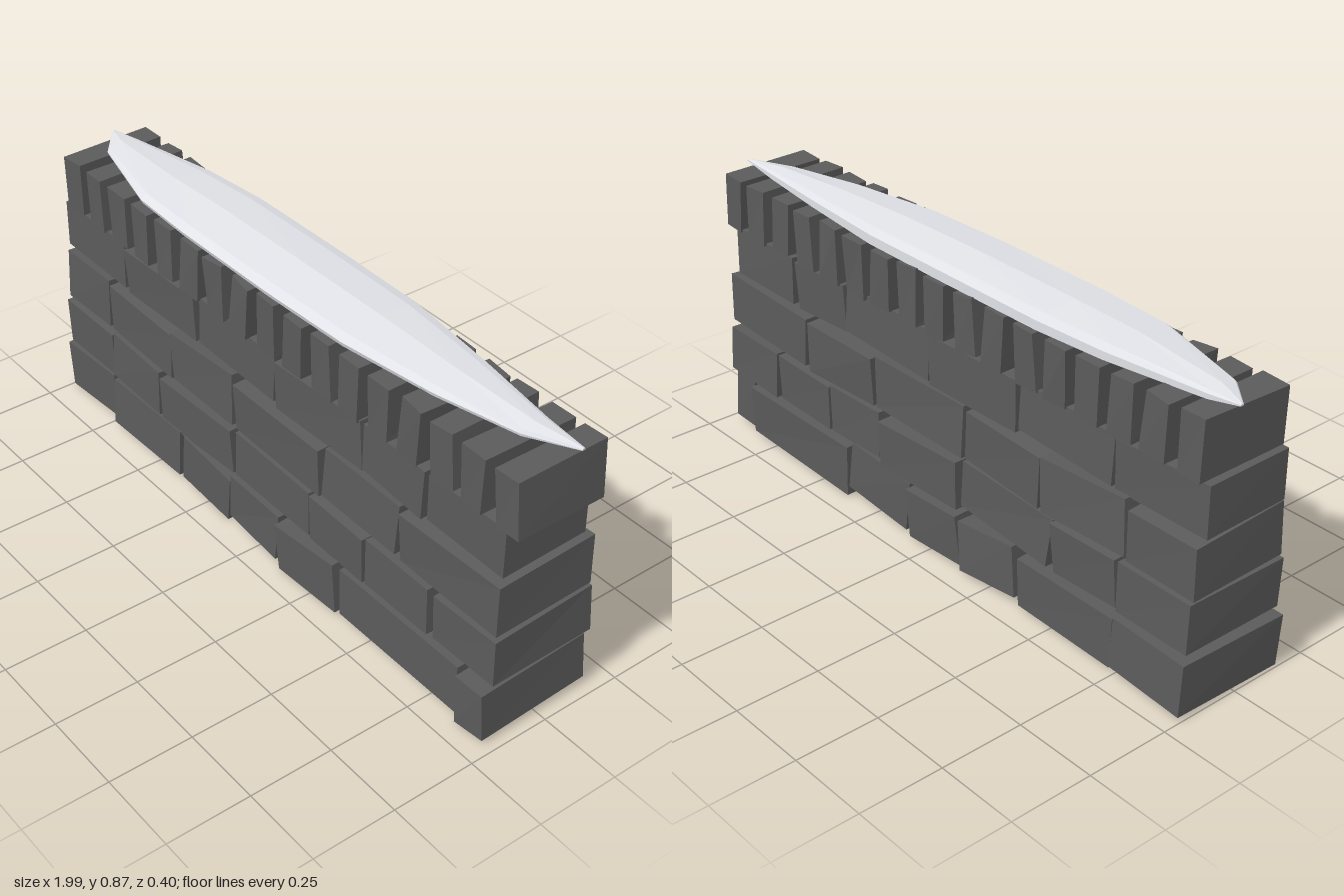
import * as THREE from 'three';

const stone = new THREE.MeshStandardMaterial({ color: 0x5b5b5b });
stone.name = 'dark stone';
const snow = new THREE.MeshStandardMaterial({ color: 0xe2e4e9 });
snow.name = 'pale cap';

// Small seeded generator returning -1..1
let seed = 11;
function wobble() {
  seed = (seed * 16807) % 2147483647;
  return (seed / 2147483647) * 2 - 1;
}

function flat(geometry) {
  const g = geometry.index ? geometry.toNonIndexed() : geometry;
  g.computeVertexNormals();
  return g;
}

// Rough-hewn block: a box whose eight corners are each nudged a little
function roughBlock(name, x0, x1, y0, y1, z0, z1) {
  const g = new THREE.BoxGeometry(x1 - x0, y1 - y0, z1 - z0);
  const corners = Array.from({ length: 8 }, () => [wobble(), wobble(), wobble()]);
  const p = g.attributes.position;
  for (let i = 0; i < p.count; i++) {
    const c = corners[(p.getX(i) > 0 ? 1 : 0) + (p.getY(i) > 0 ? 2 : 0) + (p.getZ(i) > 0 ? 4 : 0)];
    p.setXYZ(i, p.getX(i) + c[0] * 0.004, p.getY(i) + c[1] * 0.004, p.getZ(i) + c[2] * 0.004);
  }
  const mesh = new THREE.Mesh(flat(g), stone);
  mesh.name = name;
  mesh.position.set((x0 + x1) / 2, (y0 + y1) / 2, (z0 + z1) / 2);
  return mesh;
}

// Courses from the ground up; each block is [left x, z shift, roll] and ends just before the next
const GAP = 0.012;
const courses = [
  { y0: 0.016, y1: 0.17, half: 0.179, end: 0.962, blocks: [
    [-0.995, -0.017, 0.05], [-0.732, -0.004, 0.01], [-0.365, -0.004, -0.1], [-0.126, -0.002, -0.06],
    [0.105, 0.008, 0.08], [0.377, 0, 0.01], [0.865, 0.014, 0.03] ] },
  { y0: 0.181, y1: 0.328, half: 0.166, end: 0.96, blocks: [
    [-0.985, -0.005, 0.01], [-0.727, 0, -0.05], [-0.475, 0.005, 0.06], [-0.11, -0.004, -0.02],
    [0.235, 0.002, -0.03], [0.469, 0.002, 0], [0.729, -0.007, 0.03] ] },
  { y0: 0.34, y1: 0.495, half: 0.156, end: 0.957, blocks: [
    [-0.985, -0.003, 0.01], [-0.744, -0.002, -0.05], [-0.424, 0.002, 0.04], [-0.118, 0.003, -0.01],
    [0.27, -0.004, -0.02], [0.586, -0.003, 0.03] ] },
  { y0: 0.508, y1: 0.656, half: 0.136, end: 0.94, blocks: [
    [-0.992, 0.001, -0.01], [-0.671, 0.003, 0.04], [-0.317, -0.003, -0.02], [0.048, 0.003, 0.03],
    [0.418, 0.002, -0.06], [0.661, -0.005, 0] ] },
];

// Sideways lean of each coping stone
const copingLean = [0, 0.07, 0, 0, 0.05, -0.05, 0.06, -0.1, 0, -0.05, 0.05, -0.02, 0, -0.07, 0.08, 0, 0.08];

// Cap: faceted lens lofted along x; each station is [x, back z, front z, crown y]
function capGeometry() {
  const stations = [
    [-0.99, -0.045, -0.035, 0.842], [-0.9, -0.065, 0.04, 0.851], [-0.6, -0.115, 0.122, 0.866],
    [-0.38, -0.132, 0.132, 0.872], [0, -0.133, 0.132, 0.875], [0.3, -0.13, 0.122, 0.873],
    [0.6, -0.1, 0.08, 0.863], [0.85, -0.068, 0.02, 0.852], [0.99, -0.055, -0.045, 0.843],
  ];
  // Ring as [share across the width, share of height], front underside over to back
  const ring = [[0.98, 0], [1, 0.3], [0.92, 0.68], [0.5, 1], [0.12, 0.8], [0, 0.6], [0, 0]];
  const points = stations.map(([x, back, front, top], s) => {
    const edge = s === 0 || s === stations.length - 1;
    const low = edge ? top - 0.006 : 0.826;
    return ring.map(([w, h]) => [x, low + (top - low) * h, back + (front - back) * w]);
  });
  const pos = [];
  for (let i = 0; i < stations.length - 1; i++) {
    for (let j = 0; j < ring.length; j++) {
      const k = (j + 1) % ring.length;
      const a = points[i][j], b = points[i][k], c = points[i + 1][j], d = points[i + 1][k];
      pos.push(...a, ...c, ...b, ...b, ...c, ...d);
    }
  }
  // Close the two narrow tips
  const first = points[0], last = points[points.length - 1];
  for (let j = 1; j < ring.length - 1; j++) {
    pos.push(...first[0], ...first[j], ...first[j + 1], ...last[0], ...last[j + 1], ...last[j]);
  }
  const g = new THREE.BufferGeometry();
  g.setAttribute('position', new THREE.Float32BufferAttribute(pos, 3));
  return flat(g);
}

export function createModel() {
  const wall = new THREE.Group();
  wall.name = 'stoneWall';

  // Four courses of large blocks, narrowing upwards, each block leaning forward or back
  courses.forEach(({ y0, y1, half, end, blocks }, n) => {
    const course = new THREE.Group();
    course.name = 'course' + (n + 1);
    blocks.forEach(([x0, shift, roll], i) => {
      const fromEnd = blocks.length - 1 - i;
      const x1 = fromEnd ? blocks[i + 1][0] - GAP : end;
      const block = roughBlock('wallBlock', x0, x1, y0, y1, shift - half, shift + half);
      block.rotation.set(fromEnd % 2 ? -0.025 : 0.03, 0, roll);
      course.add(block);
    });
    wall.add(course);
  });

  // Row of upright coping stones with gaps between
  const coping = new THREE.Group();
  coping.name = 'copingStones';
  copingLean.forEach((lean, i) => {
    const x = -0.932 + i * 0.1174;
    const post = roughBlock('copingStone', x - 0.039, x + 0.039, 0.655, 0.823, -0.143, 0.143);
    post.rotation.set(wobble() * 0.02, wobble() * 0.02, lean);
    coping.add(post);
  });
  wall.add(coping);

  // Pale cap lying on the coping
  const cap = new THREE.Mesh(capGeometry(), snow);
  cap.name = 'snowCap';
  wall.add(cap);

  return wall;
}
